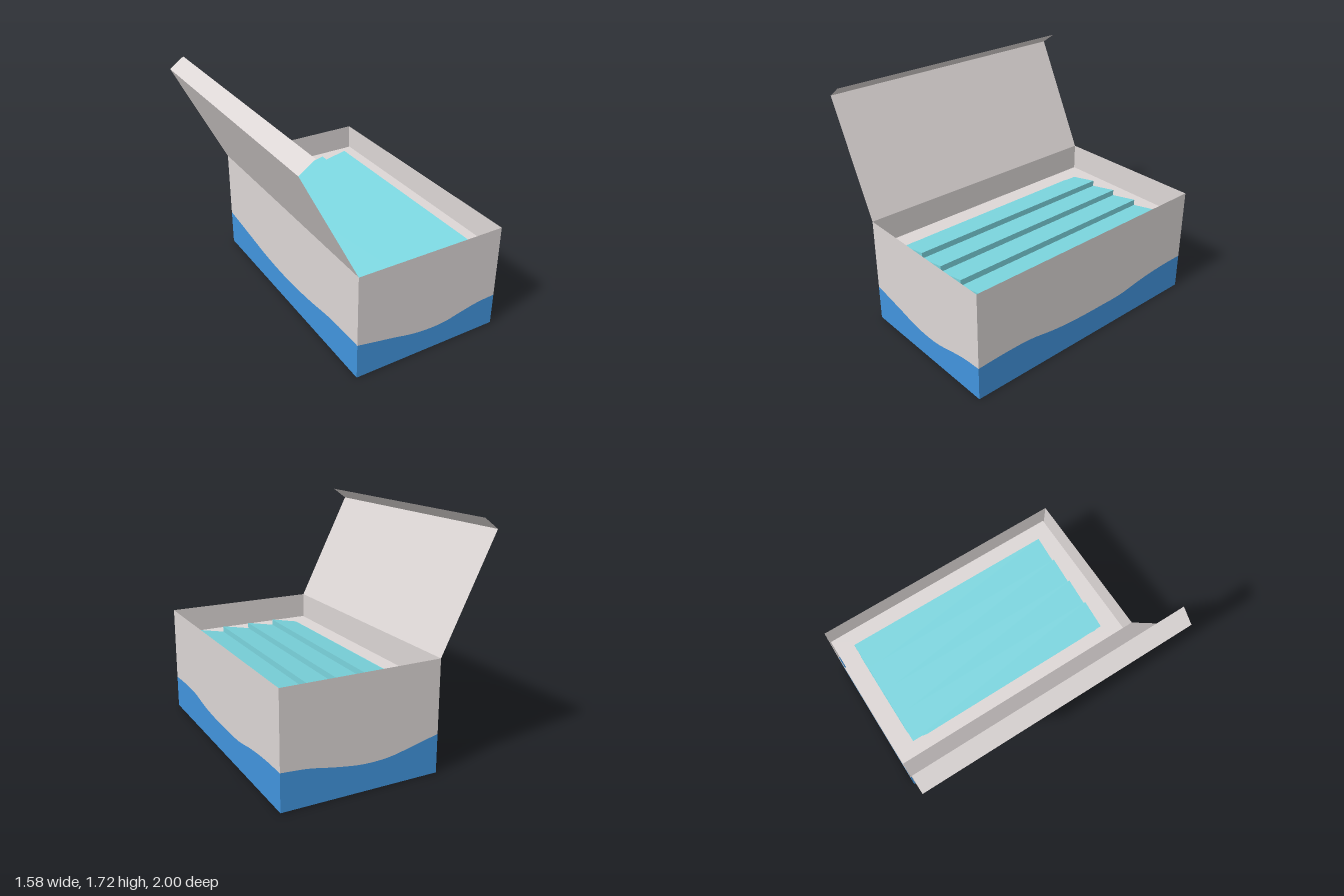
import * as THREE from 'three';

const X0 = -0.38, X1 = 0.79, H = 0.82, FLOOR = 0.625;

export function createModel() {
  const model = new THREE.Group();
  const mat = (name, color) => {
    const m = new THREE.MeshStandardMaterial({ color, side: THREE.DoubleSide });
    m.name = name;
    return m;
  };
  const card = mat('pale grey card', 0xdcd6d5);
  const blue = mat('blue wave', 0x4194dd);
  const teal = mat('teal', 0x7bd5de);

  const add = (parent, name, geometry, material) => {
    const mesh = new THREE.Mesh(geometry, material);
    mesh.name = name;
    parent.add(mesh);
    return mesh;
  };

  // Side walls: grey above and blue below a wavy line, running left to right seen from outside
  function wall(name, width, heights, x, z, turn) {
    const n = heights.length - 1;
    const curve = new THREE.SplineCurve(
      heights.map((h, i) => new THREE.Vector2((i / n - 0.5) * width, h)));
    const wave = curve.getPoints(40);
    const half = width / 2;
    const below = [new THREE.Vector2(half, 0), new THREE.Vector2(-half, 0)];
    const above = [new THREE.Vector2(half, H), new THREE.Vector2(-half, H)];
    const group = new THREE.Group();
    group.name = name;
    add(group, name + 'Wave', new THREE.ShapeGeometry(new THREE.Shape([...below, ...wave])), blue);
    add(group, name + 'Upper', new THREE.ShapeGeometry(new THREE.Shape([...above, ...wave])), card);
    group.position.set(x, 0, z);
    group.rotation.y = turn;
    model.add(group);
  }
  const midX = (X0 + X1) / 2, width = X1 - X0;
  wall('frontWall', width, [0.275, 0.247, 0.22, 0.19, 0.176, 0.182, 0.213, 0.24, 0.25], midX, 1, 0);
  wall('leftWall', 2, [0.25, 0.26, 0.257, 0.225, 0.21, 0.208, 0.212, 0.245, 0.265, 0.27], X1, 0, Math.PI / 2);
  wall('backWall', width, [0.27, 0.255, 0.22, 0.195, 0.2, 0.24, 0.285], midX, -1, Math.PI);
  wall('rightWall', 2, [0.285, 0.25, 0.215, 0.205, 0.225, 0.265, 0.275], X0, 0, -Math.PI / 2);

  // Flat panels spanning the full length between two points of the side section
  function panel(name, a, b, halfLength) {
    const g = new THREE.PlaneGeometry(Math.hypot(b[0] - a[0], b[1] - a[1]), halfLength * 2);
    g.rotateX(-Math.PI / 2);
    g.rotateZ(Math.atan2(b[1] - a[1], b[0] - a[0]));
    g.translate((a[0] + b[0]) / 2, (a[1] + b[1]) / 2, 0);
    add(model, name, g, card);
  }
  panel('lid', [X0, H], [-0.79, 1.64], 1);
  panel('lidFlap', [-0.79, 1.64], [-0.68, 1.72], 1);
  panel('innerTray', [X0 + 0.01, FLOOR], [X1, FLOOR], 0.99);
  // The base is turned over so its face looks downwards
  panel('base', [X1, 0.003], [X0, 0.003], 1);

  // Teal painted patches with slightly uneven edges, on the tray and under the base
  function patch(name, y, turn) {
    const pts = [];
    for (let i = 0; i < 96; i++) {
      const t = (i / 96) * Math.PI * 2, c = Math.cos(t), s = Math.sin(t);
      const round = (v) => Math.sign(v) * Math.pow(Math.abs(v), 0.1);
      const wobble = 0.004 * Math.sin(9 * t);
      pts.push(new THREE.Vector2(0.207 + round(c) * (0.443 + wobble), round(s) * (0.85 + wobble)));
    }
    const mesh = add(model, name, new THREE.ShapeGeometry(new THREE.Shape(pts)), teal);
    mesh.rotation.x = turn;
    mesh.position.y = y;
  }
  patch('trayPatch', FLOOR + 0.003, -Math.PI / 2);
  patch('basePatch', 0, Math.PI / 2);

  // Four sloping slats, each rising to a small step
  const w = 0.22;
  const wedge = new THREE.Shape([[0, 0], [w, 0], [w, 0.045]].map(([x, y]) => new THREE.Vector2(x, y)));
  const slat = new THREE.ExtrudeGeometry(wedge, { depth: 1.7, bevelEnabled: false });
  for (let i = 0; i < 4; i++) {
    add(model, 'slat' + (i + 1), slat, teal).position.set(-0.23 + i * w, FLOOR + 0.004, -0.85);
  }
  return model;
}
